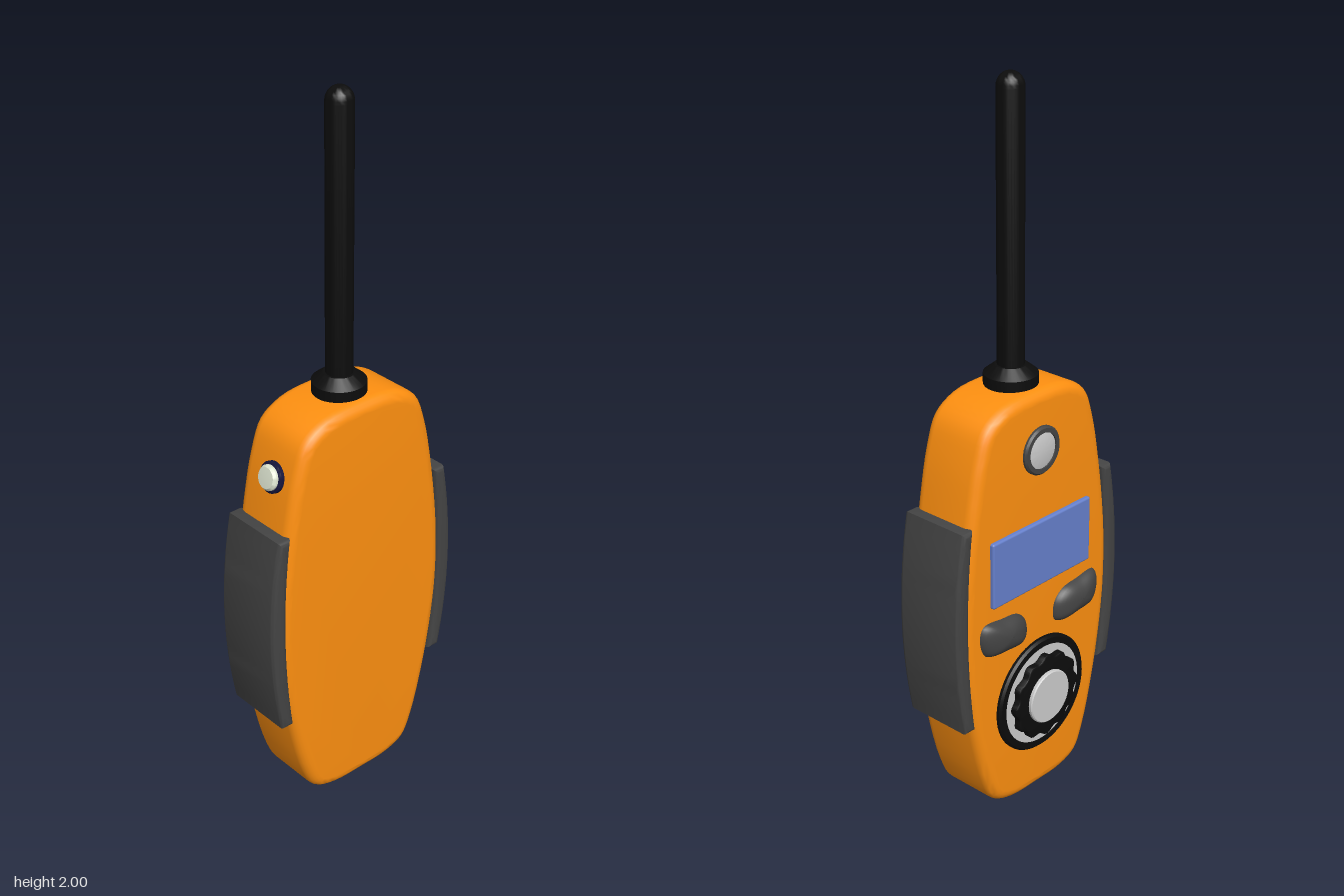
import * as THREE from 'three';
import { toCreasedNormals } from 'three/addons/utils/BufferGeometryUtils.js';
import { ParametricGeometry } from 'three/addons/geometries/ParametricGeometry.js';
import { RoundedBoxGeometry } from 'three/addons/geometries/RoundedBoxGeometry.js';

const mat = (color) => new THREE.MeshStandardMaterial({ color, side: THREE.DoubleSide });
const V2 = (p) => new THREE.Vector2(p[0], p[1]);

const FACE_Z = -0.085; // plane carrying the controls
const BACK_Z = 0.12;

export function createModel() {
  const model = new THREE.Group();
  const orange = mat(0xff9010), rubber = mat(0x444444), black = mat(0x0c0c0c);
  const blue = mat(0x6680cc), cream = mat(0xdfe6d2), silver = mat(0xcccccc), navy = mat(0x14143c);

  const add = (name, geometry, material, parent = model) => {
    const mesh = new THREE.Mesh(geometry, material);
    mesh.name = name;
    parent.add(mesh);
    return mesh;
  };

  // Extrudes an outline between two z planes with rounded rims that stay inside the outline
  const slab = (points, z0, z1, r) => {
    const g = new THREE.ExtrudeGeometry(new THREE.Shape(points), {
      depth: z1 - z0 - 2 * r, bevelEnabled: true, bevelThickness: r,
      bevelSize: r, bevelOffset: -r, bevelSegments: 5,
    });
    g.translate(0, 0, z0 + r);
    return toCreasedNormals(g, 0.7);
  };

  // Turned part, its axis along y; points are [radius, height]
  const turned = (points, segments = 40) =>
    toCreasedNormals(new THREE.LatheGeometry(points.map(V2), segments), 0.6);

  // Barrel-shaped body
  const side = [[0.1, 0.004], [0.165, 0.03], [0.2, 0.095], [0.248, 0.28], [0.277, 0.47], [0.284, 0.6],
    [0.277, 0.75], [0.252, 0.93], [0.222, 1.07], [0.188, 1.15], [0.12, 1.19]];
  const outline = [[0, 0], ...side, [0, 1.2], ...side.map(([x, y]) => [-x, y]).reverse()];
  const loop = new THREE.CatmullRomCurve3(outline.map(([x, y]) => new THREE.Vector3(x, y, 0)), true);
  add('body', slab(loop.getPoints(96).slice(0, -1).map((p) => new THREE.Vector2(p.x, p.y)),
    FACE_Z, BACK_Z, 0.03), orange);

  // Curved rubber grips on both sides
  for (const s of [1, -1]) {
    const outer = [], inner = [];
    for (let i = 0; i <= 16; i++) {
      const t = i / 8 - 1, y = 0.605 + 0.297 * t;
      outer.push(new THREE.Vector2(s * (0.318 - 0.03 * t * t), y));
      inner.unshift(new THREE.Vector2(s * (0.27 - 0.02 * t * t), y));
    }
    add(s > 0 ? 'leftGrip' : 'rightGrip', slab([...outer, ...inner], -0.088, 0.123, 0.013), rubber);
  }

  // Antenna with its collar
  const antenna = new THREE.Group();
  antenna.name = 'antenna';
  antenna.position.z = 0.018;
  model.add(antenna);
  add('antennaCollar', turned([[0, 1.17], [0.072, 1.17], [0.072, 1.228], [0.042, 1.252], [0, 1.252]]), black, antenna);
  const rod = [[0.036, 1.2]];
  for (let i = 0; i <= 8; i++) {
    const a = (i / 8) * Math.PI / 2;
    rod.push([0.036 * Math.cos(a), 1.962 + 0.038 * Math.sin(a)]);
  }
  add('antennaRod', turned(rod, 32), black, antenna);

  // Controls built with their axis along +y, then turned to point out of the face
  const facing = (name, y) => {
    const g = new THREE.Group();
    g.name = name;
    g.position.set(0, y, FACE_Z);
    g.rotation.x = -Math.PI / 2;
    model.add(g);
    return g;
  };

  // Round lamp at the top of the face
  const lamp = facing('lamp', 1.04);
  add('lampRim', turned([[0.05, -0.01], [0.067, -0.01], [0.067, 0.006], [0.062, 0.011], [0.05, 0.011], [0.05, -0.01]]), rubber, lamp);
  add('lampLens', turned([[0.052, -0.01], [0.052, 0.006], [0.035, 0.01], [0, 0.012]]), silver, lamp);

  // Display
  add('screen', new RoundedBoxGeometry(0.38, 0.19, 0.024, 3, 0.006), blue).position.set(0, 0.745, FACE_Z);

  // Pair of domed push buttons
  const rim = [[0.056, 0.515], [0.058, 0.565], [0.09, 0.595], [0.15, 0.604], [0.218, 0.608],
    [0.233, 0.575], [0.212, 0.515], [0.14, 0.502], [0.075, 0.5]];
  for (const s of [1, -1]) {
    const curve = new THREE.CatmullRomCurve3(rim.map(([x, y]) => new THREE.Vector3(s * x, y, 0)), true);
    const centre = new THREE.Vector3(s * 0.145, 0.555, 0);
    const dome = new ParametricGeometry((u, v, target) => {
      const a = v * Math.PI / 2;
      target.copy(curve.getPoint(u)).lerp(centre, 1 - Math.cos(a));
      target.z = FACE_Z + 0.008 - 0.043 * Math.sin(a);
    }, 48, 10);
    add(s > 0 ? 'leftButton' : 'rightButton', dome, rubber);
  }

  // Rotary dial: base ring, silver ring, scalloped knob and cap
  const dial = facing('dial', 0.31);
  add('dialBase', turned([[0.17, -0.01], [0.17, 0.008], [0.164, 0.014], [0.146, 0.014], [0.146, 0.006], [0, 0.006]], 56), black, dial);
  add('dialRing', turned([[0.146, 0], [0.146, 0.012], [0.1, 0.012]], 56), silver, dial);
  const scallops = [];
  for (let i = 0; i < 96; i++) {
    const a = (i / 96) * Math.PI * 2, r = 0.12 + 0.006 * Math.cos(12 * a);
    scallops.push(new THREE.Vector2(r * Math.cos(a), r * Math.sin(a)));
  }
  add('dialKnob', slab(scallops, 0, 0.032, 0.004), black, dial).rotation.x = -Math.PI / 2;
  add('dialCap', turned([[0.077, 0.02], [0.077, 0.04], [0.074, 0.043], [0, 0.043]]), silver, dial);

  // Small button on the upper right flank
  const flank = new THREE.Group();
  flank.name = 'sideButton';
  flank.position.set(-0.228, 1.037, 0.03);
  flank.rotation.z = Math.PI / 2 - 0.25;
  model.add(flank);
  add('sideButtonRim', turned([[0, -0.02], [0.042, -0.02], [0.042, 0.012], [0.036, 0.016], [0, 0.016]], 32), navy, flank);
  add('sideButtonCap', turned([[0.034, 0], [0.034, 0.022], [0.028, 0.029], [0, 0.031]], 32), cream, flank);

  return model;
}
